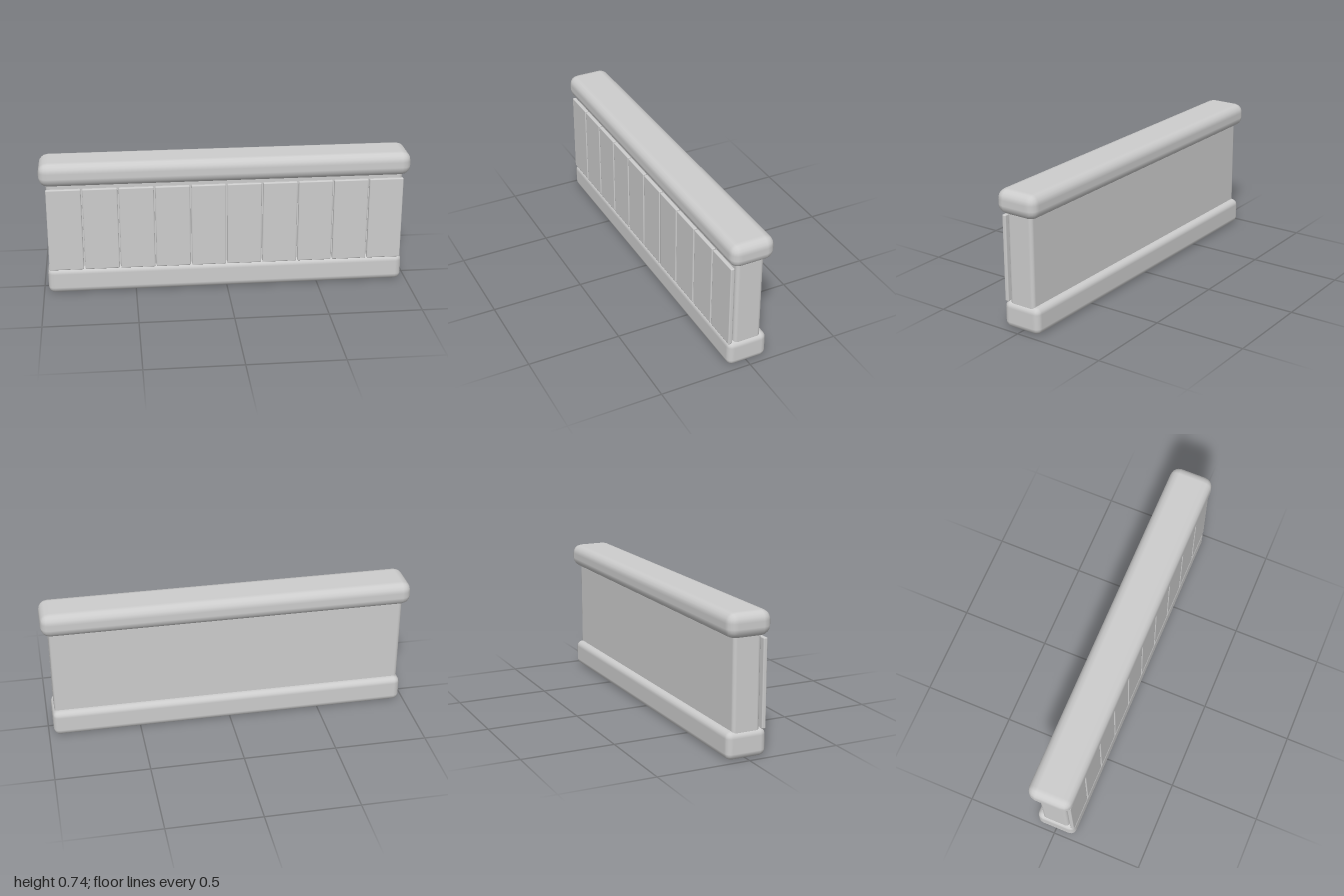
import * as THREE from 'three';
import { RoundedBoxGeometry } from 'three/addons/geometries/RoundedBoxGeometry.js';

const stone = new THREE.MeshStandardMaterial({ color: 0xcccccc });
stone.name = 'light grey';

// Rounded block given by its extents on each axis
function block(name, [x0, x1], [y0, y1], [z0, z1], radius) {
  const geometry = new RoundedBoxGeometry(x1 - x0, y1 - y0, z1 - z0, 2, radius);
  const mesh = new THREE.Mesh(geometry, stone);
  mesh.position.set((x0 + x1) / 2, (y0 + y1) / 2, (z0 + z1) / 2);
  mesh.name = name;
  return mesh;
}

export function createModel() {
  const model = new THREE.Group();
  model.name = 'panelledCounter';

  // Plinth, wall and overhanging top rail
  model.add(block('base', [-0.975, 0.973], [0, 0.145], [-0.11, 0.11], 0.034));
  model.add(block('wall', [-0.963, 0.961], [0.1, 0.65], [-0.076, 0.076], 0.02));
  model.add(block('topRail', [-1, 1], [0.613, 0.743], [-0.12, 0.12], 0.051));

  // Row of upright boards standing just off the front of the wall
  const boards = new THREE.Group();
  boards.name = 'frontBoards';
  const count = 10, pitch = 0.1933, width = 0.186;
  for (let i = 0; i < count; i++) {
    const x = -0.965 + i * pitch;
    boards.add(block('board' + (i + 1), [x, x + width], [0.137, 0.6], [0.086, 0.108], 0.006));
  }
  model.add(boards);
  return model;
}
